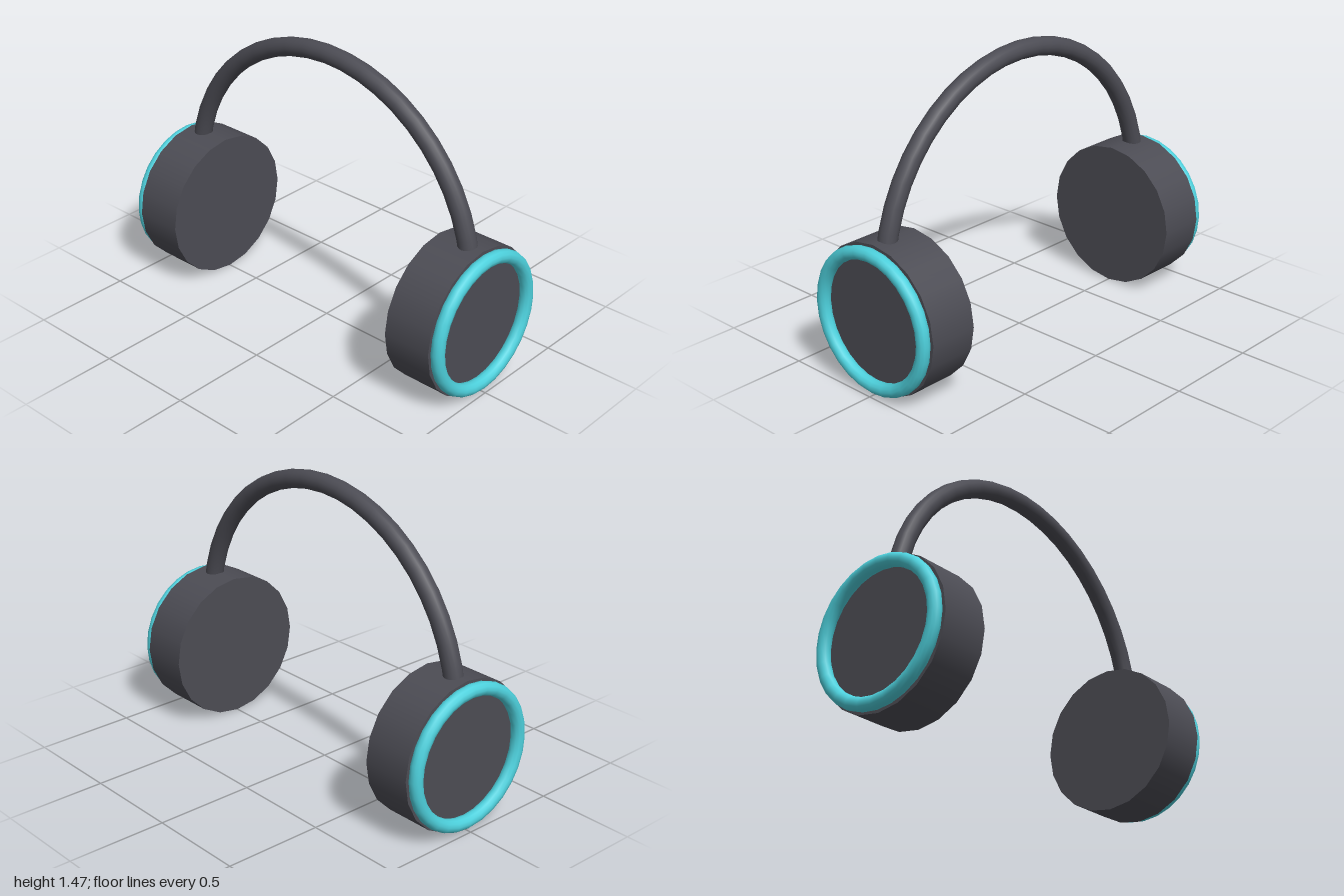
import * as THREE from 'three';

const CUP_Y = 0.37;

export function createModel() {
  const charcoal = new THREE.MeshStandardMaterial({ name: 'charcoal', color: 0x4c4c54 });
  const cyan = new THREE.MeshStandardMaterial({ name: 'cyan', color: 0x4dd0dc });
  const model = new THREE.Group();
  model.name = 'headphones';

  const add = (name, geometry, material, x, y) => {
    const mesh = new THREE.Mesh(geometry, material);
    mesh.name = name;
    mesh.position.set(x, y, 0);
    model.add(mesh);
  };

  // Half-circle headband, its ends sunk into the ear cups
  add('headband', new THREE.TorusGeometry(0.88, 0.046, 16, 24, Math.PI), charcoal, 0, 0.54);

  // Ear cups with an accent ring on each outer face
  const cup = new THREE.CylinderGeometry(0.37, 0.37, 0.25, 20).rotateZ(Math.PI / 2);
  const ring = new THREE.TorusGeometry(0.329, 0.033, 12, 28).rotateY(Math.PI / 2);
  for (const [side, s] of [['left', 1], ['right', -1]]) {
    add(side + 'EarCup', cup, charcoal, s * 0.82, CUP_Y);
    add(side + 'AccentRing', ring, cyan, s * 0.967, CUP_Y);
  }
  return model;
}
